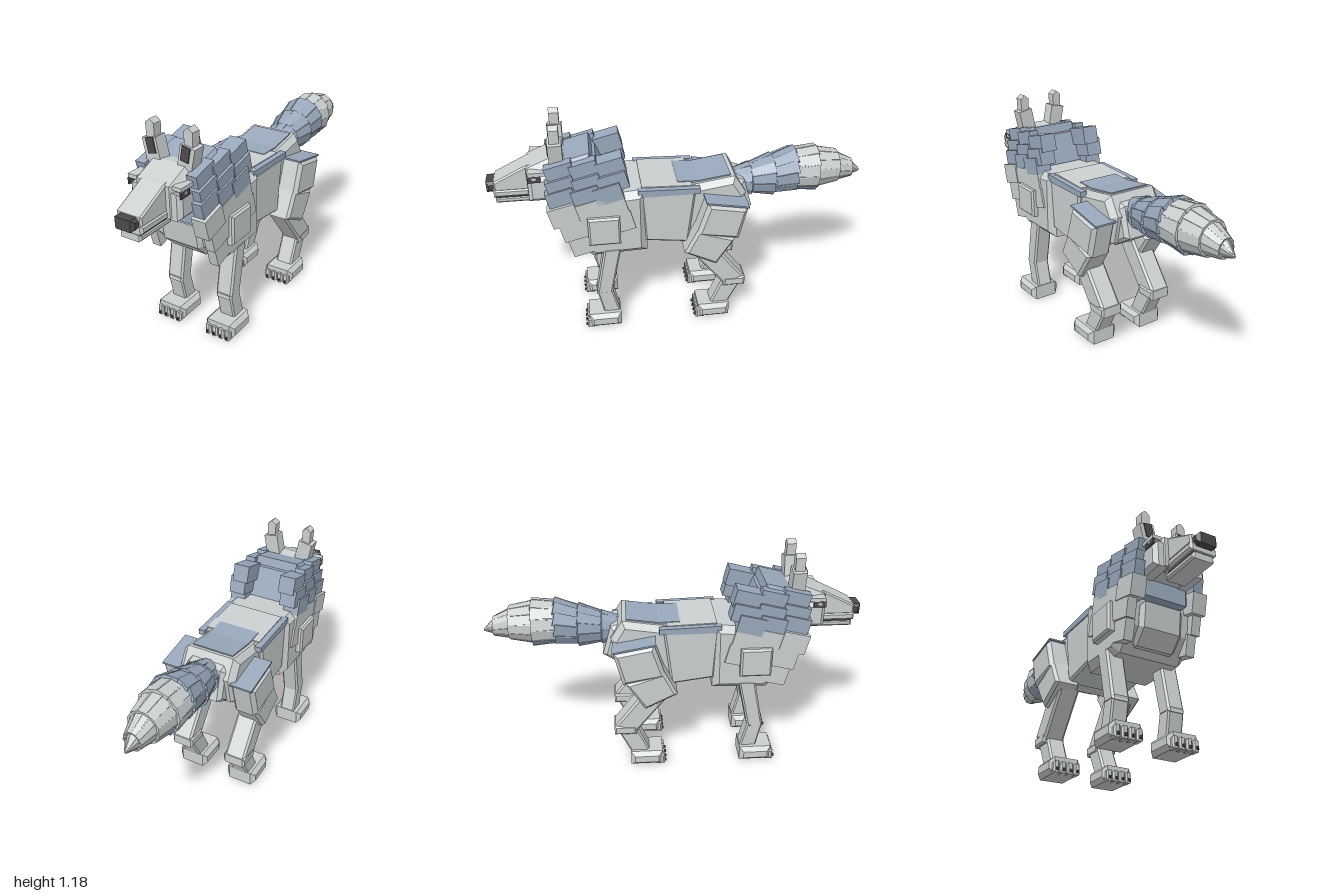
import * as THREE from 'three';

const material = (name, color) => Object.assign(new THREE.MeshStandardMaterial({ color }), { name });

export function createModel() {
  const grey = material('lightGreyFur', 0xcbcfd0);
  const blue = material('blueGreyFur', 0x98a8bb);
  const dark = material('darkDetails', 0x4c494c);
  const wolf = new THREE.Group();
  wolf.name = 'wolf';

  function add(name, geometry, mat, parent = wolf) {
    const mesh = new THREE.Mesh(geometry, mat);
    mesh.name = name;
    parent.add(mesh);
    return mesh;
  }

  // Chamfered block from a side outline of [z, y] points, centred at x, width w
  function block(name, mat, outline, x, w, bevel = 0.01) {
    const shape = new THREE.Shape(outline.map(([z, y]) => new THREE.Vector2(z, y)));
    const geometry = new THREE.ExtrudeGeometry(shape, {
      depth: w - 2 * bevel, bevelEnabled: bevel > 0, bevelThickness: bevel,
      bevelSize: bevel, bevelOffset: -bevel, bevelSegments: 1,
    });
    geometry.translate(0, 0, bevel - w / 2).rotateY(-Math.PI / 2).translate(x, 0, 0);
    return add(name, geometry, mat);
  }
  const pair = (name, mat, outline, x, w, bevel) => {
    block(name + 'Left', mat, outline, x, w, bevel);
    block(name + 'Right', mat, outline, -x, w, bevel);
  };

  // Mirrored box with optional tilt (front end down) and sideways lean
  function boxes(name, mat, size, [x, y, z], tilt = 0, lean = 0) {
    for (const s of [1, -1]) {
      const mesh = add(name + (s > 0 ? 'Left' : 'Right'), new THREE.BoxGeometry(...size), mat);
      mesh.position.set(s * x, y, z);
      mesh.rotation.set(tilt, 0, -s * lean);
    }
  }
  const rect = (z0, z1, y0, y1) => [[z0, y0], [z1, y0], [z1, y1], [z0, y1]];

  // Body
  block('chest', grey, [[0.61, 0.69], [0.59, 0.56], [0.49, 0.45], [0.2, 0.46], [0.2, 0.83], [0.58, 0.8]], 0, 0.4, 0.035);
  block('breast', grey, [[0.63, 0.68], [0.61, 0.55], [0.54, 0.48], [0.45, 0.48], [0.45, 0.68]], 0, 0.24, 0.02);
  block('torso', grey, [[0.23, 0.82], [0.21, 0.52], [-0.02, 0.49], [-0.06, 0.815]], 0, 0.36, 0.012);
  block('backPlate', grey, [[0.22, 0.8], [0.22, 0.835], [-0.04, 0.825], [-0.04, 0.79]], 0, 0.31, 0);
  pair('backEdge', blue, [[0.24, 0.79], [0.24, 0.83], [-0.08, 0.82], [-0.08, 0.79]], 0.168, 0.036, 0);
  block('hips', grey, [[0, 0.815], [0, 0.5], [-0.12, 0.5], [-0.3, 0.6], [-0.33, 0.75], [-0.27, 0.85], [-0.08, 0.82]], 0, 0.32, 0.03);
  block('rump', grey, [[-0.24, 0.83], [-0.33, 0.8], [-0.375, 0.64], [-0.25, 0.56]], 0, 0.22, 0.02);
  block('rumpPatch', blue, [[0.03, 0.815], [0.03, 0.831], [-0.08, 0.828], [-0.25, 0.853], [-0.25, 0.843], [-0.08, 0.815]], 0, 0.23, 0);

  // Neck and layered mane
  block('neck', blue, [[0.65, 0.7], [0.66, 0.98], [0.47, 1.03], [0.4, 0.8], [0.5, 0.69]], 0, 0.27, 0.015);
  block('maneBack', blue, [[0.5, 0.82], [0.5, 0.99], [0.44, 0.98], [0.38, 0.82]], 0, 0.36, 0.01);
  const tilt = 0.25;
  [[0.95, 0.145, [0.62, 0.5, 0.37]], [0.88, 0.16, [0.62, 0.49, 0.36]], [0.82, 0.17, [0.625, 0.5, 0.39]]].forEach(([y, x, zs], row) =>
    zs.forEach((z, i) => boxes(`manePlate${row}${i}`, blue,
      [i === 2 ? 0.09 : 0.055, 0.095, 0.14], [x - (i === 2 ? 0.005 : 0) + (i % 2) * 0.008, y + i * 0.008, z], tilt)));
  [[0.73, 0.185, [0.62, 0.49, 0.37]], [0.64, 0.185, [0.57, 0.45, 0.34]], [0.54, 0.175, [0.53, 0.41]]].forEach(([y, x, zs], row) =>
    zs.forEach((z, i) => boxes(`chestPlate${row}${i}`, grey,
      [row || i ? 0.05 : 0.08, 0.11, 0.14], [x - (row || i ? 0 : 0.01), y + i * 0.012, z], tilt)));
  pair('shoulder', grey, rect(0.34, 0.505, 0.55, 0.71), 0.195, 0.08, 0.01);

  // Head
  block('head', grey, [[0.56, 0.79], [0.56, 0.99], [0.66, 1.005], [0.79, 0.95], [0.79, 0.79]], 0, 0.24, 0.03);
  pair('cheek', grey, rect(0.65, 0.785, 0.785, 0.92), 0.1, 0.09, 0.02);
  block('snout', grey, [[0.74, 0.82], [0.74, 0.965], [0.79, 0.955], [0.96, 0.87], [0.96, 0.82]], 0, 0.14, 0.008);
  block('upperLip', grey, rect(0.74, 0.965, 0.785, 0.83), 0, 0.15, 0.012);
  block('mouth', dark, rect(0.76, 0.955, 0.775, 0.788), 0, 0.11, 0);
  block('lowerJaw', grey, rect(0.74, 0.96, 0.745, 0.78), 0, 0.12, 0.01);
  block('nose', dark, rect(0.94, 1.0, 0.808, 0.866), 0, 0.114, 0.015);
  boxes('eye', dark, [0.008, 0.034, 0.065], [0.147, 0.917, 0.75]);
  boxes('eyeGlint', grey, [0.004, 0.015, 0.02], [0.152, 0.922, 0.75]);
  boxes('brow', grey, [0.05, 0.02, 0.09], [0.125, 0.943, 0.735]);

  // Ears
  boxes('earBase', grey, [0.08, 0.12, 0.07], [0.097, 1.04, 0.635], 0, 0.2);
  boxes('innerEar', dark, [0.045, 0.075, 0.006], [0.097, 1.062, 0.672], 0, 0.2);
  for (const s of [1, -1]) {
    const tip = new THREE.Shape([[-0.022, 0], [0.022, 0], [0.025, 0.07], [0, 0.09], [-0.025, 0.07]]
      .map(([x, y]) => new THREE.Vector2(x, y)));
    add('earTip' + (s > 0 ? 'Left' : 'Right'),
      new THREE.ExtrudeGeometry(tip, { depth: 0.05, bevelEnabled: false }), grey).position.set(s * 0.107, 1.095, 0.61);
  }

  // Front legs
  pair('frontUpperLeg', grey, [[0.43, 0.5], [0.34, 0.5], [0.4, 0.21], [0.485, 0.21]], 0.155, 0.095, 0.01);
  pair('frontLowerLeg', grey, [[0.485, 0.235], [0.4, 0.235], [0.36, 0.07], [0.45, 0.07]], 0.155, 0.09, 0.008);

  // Hind legs
  pair('thigh', grey, [[-0.11, 0.765], [-0.32, 0.725], [-0.275, 0.54], [-0.05, 0.58]], 0.2, 0.135, 0.02);
  pair('thighTop', blue, [[-0.1, 0.765], [-0.1, 0.774], [-0.325, 0.733], [-0.325, 0.724]], 0.2, 0.12, 0);
  pair('lowerThigh', grey, [[-0.06, 0.61], [-0.26, 0.54], [-0.16, 0.385], [0.01, 0.47]], 0.19, 0.14, 0.015);
  pair('shank', grey, [[-0.02, 0.46], [-0.14, 0.5], [-0.325, 0.26], [-0.21, 0.22]], 0.165, 0.115, 0.012);
  pair('hock', grey, rect(-0.33, -0.21, 0.205, 0.26), 0.162, 0.125, 0.01);
  pair('metatarsal', grey, [[-0.205, 0.235], [-0.32, 0.235], [-0.24, 0.07], [-0.135, 0.07]], 0.155, 0.1, 0.01);

  // Paws with toes and claws
  [['front', 0.36], ['hind', -0.245]].forEach(([name, z]) => {
    pair(name + 'Paw', grey, rect(z, z + 0.175, 0.005, 0.088), 0.155, 0.175, 0.022);
    for (let i = 0; i < 4; i++) {
      const x = 0.155 + (i - 1.5) * 0.039;
      pair(`${name}Toe${i}`, grey, rect(z + 0.14, z + 0.187, 0.003, 0.063), x, 0.034, 0.008);
      boxes(`${name}Claw${i}`, dark, [0.01, 0.014, 0.016], [x, 0.021, z + 0.189]);
    }
  });

  // Tail: overlapping slats around stations of [z, centre y, half width, half height]
  const tail = new THREE.Group();
  tail.name = 'tail';
  wolf.add(tail);
  const stations = [[-0.26, 0.76, 0.045, 0.05], [-0.36, 0.76, 0.085, 0.072], [-0.48, 0.775, 0.108, 0.095],
    [-0.6, 0.8, 0.115, 0.108], [-0.72, 0.8, 0.105, 0.114], [-0.84, 0.8, 0.078, 0.083],
    [-0.93, 0.785, 0.042, 0.046], [-0.995, 0.762, 0.006, 0.006]];
  const count = 12;
  const onRing = ([z, y, rx, ry], a, lift = 0) =>
    new THREE.Vector3(Math.cos(a) * (rx + lift), y + Math.sin(a) * (ry + lift), z);
  for (let i = 0; i < stations.length - 1; i++) {
    const [from, to] = [stations[i], stations[i + 1]];
    for (let k = 0; k < count; k++) {
      const a = ((k + (i % 2) / 2) / count) * Math.PI * 2;
      const p = onRing(from, a), q = onRing(to, a, i < 6 ? 0.009 : 0);
      const along = q.clone().sub(p), length = along.length() * (i < 6 ? 1.15 : 1);
      along.normalize();
      const out = new THREE.Vector3(Math.cos(a), Math.sin(a), 0);
      const side = out.clone().cross(along).normalize();
      out.crossVectors(along, side);
      const chord = (s) => Math.max(0.006, (s[2] + s[3]) * 0.31);
      const geometry = new THREE.BoxGeometry(1, 1, length);
      const pos = geometry.attributes.position;
      for (let v = 0; v < pos.count; v++) {
        const end = pos.getZ(v) > 0 ? to : from;
        pos.setX(v, pos.getX(v) * chord(end));
        pos.setY(v, (pos.getY(v) - 0.5) * Math.min(0.03, end[2]));
      }
      geometry.computeVertexNormals();
      geometry.applyMatrix4(new THREE.Matrix4().makeBasis(side, out, along)
        .setPosition(p.addScaledVector(along, length / 2)));
      const isBlue = i < 3 || (i === 3 && Math.sin(a) < -0.4);
      add(`tailSlat${i}_${k}`, geometry, isBlue ? blue : grey, tail);
    }
  }
  return wolf;
}
